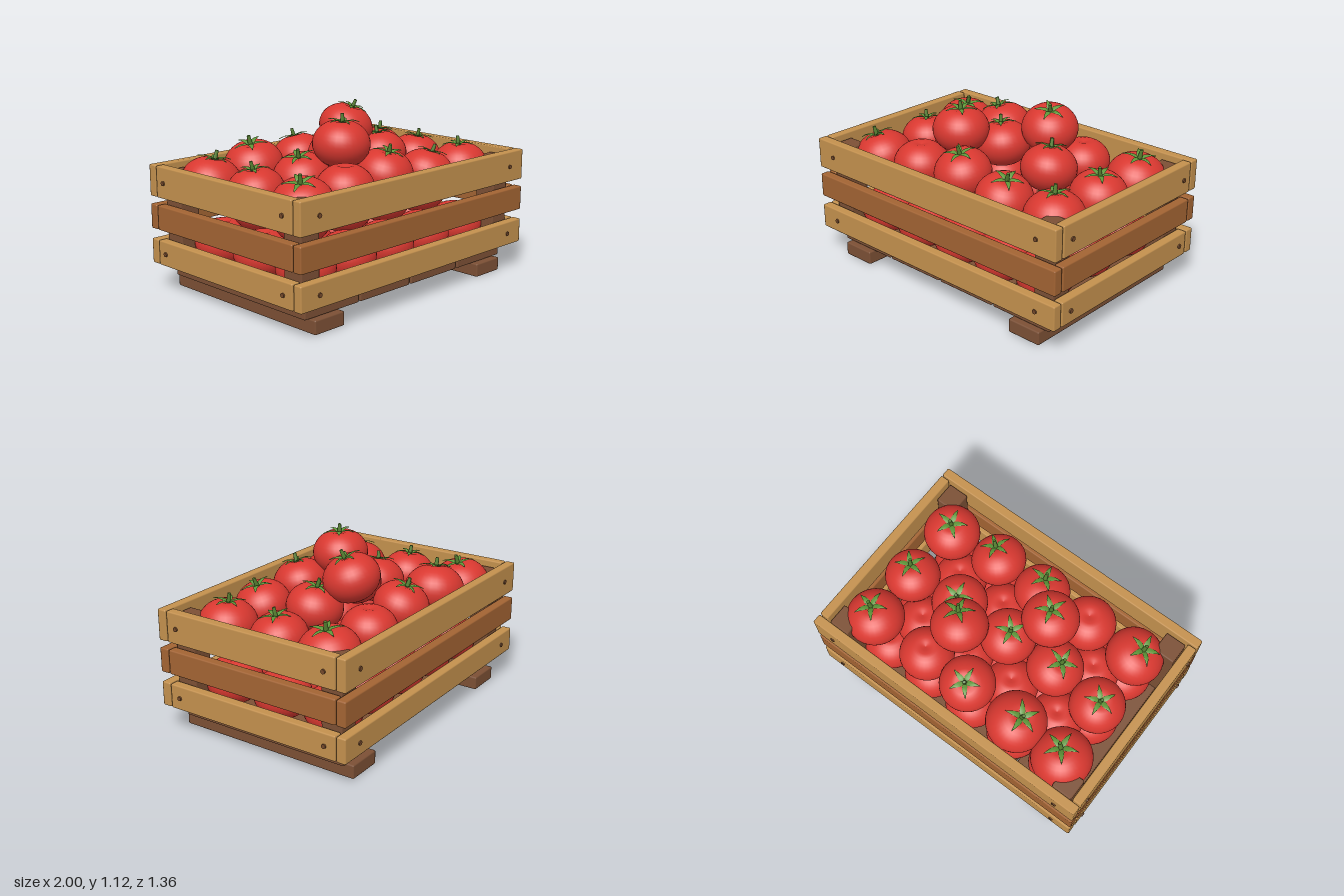
import * as THREE from 'three';
import { RoundedBoxGeometry } from 'three/addons/geometries/RoundedBoxGeometry.js';

const mat = (name, color, extra = {}) => new THREE.MeshStandardMaterial({ name, color, ...extra });

// Unit fruit: a squashed ball, dimpled at both poles
function fruitGeometry() {
  const pts = [];
  for (let i = 0; i <= 20; i++) {
    const t = -Math.PI / 2 + (Math.PI * i) / 20;
    const r = Math.max(0, Math.cos(t));
    pts.push(new THREE.Vector2(r, 0.83 * Math.sin(t) * (1 - 0.17 * Math.exp(-((r / 0.22) ** 2)))));
  }
  return new THREE.LatheGeometry(pts, 32);
}

// Five pointed sepals, each with a raised centre rib
function calyxGeometry() {
  const pos = [], index = [];
  // radius, half width, rib height
  const rows = [[0, 0.008, 0.124], [0.03, 0.017, 0.143], [0.065, 0.011, 0.146], [0.1, 0.001, 0.137]];
  for (let k = 0; k < 5; k++) {
    const a = (k / 5) * Math.PI * 2, c = Math.cos(a), s = Math.sin(a), base = pos.length / 3;
    for (const [r, w, y] of rows)
      for (const j of [-1, 0, 1]) pos.push(r * c - j * w * s, y - Math.abs(j) * 0.004, r * s + j * w * c);
    for (let i = 0; i < rows.length - 1; i++)
      for (let j = 0; j < 2; j++) {
        const p = base + i * 3 + j;
        index.push(p, p + 1, p + 3, p + 1, p + 4, p + 3);
      }
  }
  const g = new THREE.BufferGeometry();
  g.setAttribute('position', new THREE.Float32BufferAttribute(pos, 3));
  g.setIndex(index);
  g.computeVertexNormals();
  return g;
}

export function createModel() {
  const model = new THREE.Group();
  model.name = 'tomatoCrate';
  const lightWood = mat('lightWood', 0xc4914e);
  const midWood = mat('midWood', 0xa36433);
  const darkWood = mat('darkWood', 0x7c5035);
  const nailBrown = mat('nailBrown', 0x75492b);
  const red = mat('tomatoRed', 0xd93830);
  const leafGreen = mat('leafGreen', 0x5e9638, { side: THREE.DoubleSide });
  const stemGreen = mat('stemGreen', 0x557f30);

  const add = (name, geo, material, x, y, z, parent = model) => {
    const m = new THREE.Mesh(geo, material);
    m.name = name;
    m.position.set(x, y, z);
    parent.add(m);
    return m;
  };
  // Board with softly bevelled edges, given by its extents
  const board = (name, material, x0, x1, y0, y1, z0, z1) =>
    add(name, new RoundedBoxGeometry(x1 - x0, y1 - y0, z1 - z0, 1, 0.009), material,
      (x0 + x1) / 2, (y0 + y1) / 2, (z0 + z1) / 2);

  // Runners, floor planks and corner posts
  for (const s of [-1, 1]) {
    const x = s * 0.722;
    board('runner', darkWood, x - 0.115, x + 0.115, 0.005, 0.092, -0.62, 0.62);
    for (const t of [-1, 1])
      board('cornerPost', darkWood, x + s * 0.128 - 0.07, x + s * 0.128 + 0.07, 0.165, 0.765, t * 0.53 - 0.07, t * 0.53 + 0.07);
  }
  for (let i = 0; i < 4; i++) {
    const x = (i - 1.5) * 0.443;
    board('floorPlank', darkWood, x - 0.215, x + 0.215, 0.093, 0.165, -0.582, 0.582);
  }

  // Wall slats with nails in the light ones
  const nailGeo = new THREE.CylinderGeometry(0.014, 0.014, 0.014, 12);
  for (const [y0, y1, material, nailed] of [
    [0.18, 0.337, lightWood, true], [0.4, 0.557, midWood, false], [0.605, 0.803, lightWood, true],
  ]) {
    const y = (y0 + y1) / 2;
    for (const s of [-1, 1]) {
      board('longSlat', material, -0.99, 0.99, y0, y1, s * 0.64 - 0.031, s * 0.64 + 0.031);
      board('endSlat', material, s * 0.96 - 0.031, s * 0.96 + 0.031, y0, y1, -0.602, 0.602);
      if (!nailed) continue;
      for (const t of [-1, 1]) {
        add('nail', nailGeo, nailBrown, t * 0.85, y, s * 0.671).rotation.x = Math.PI / 2;
        add('nail', nailGeo, nailBrown, s * 0.993, y, t * 0.53).rotation.z = Math.PI / 2;
      }
    }
  }

  // Tomatoes; dx, dz is how far the stem leans off centre
  const fruitGeo = fruitGeometry();
  const calyxGeo = calyxGeometry();
  const stemGeo = new THREE.CylinderGeometry(0.01, 0.015, 0.065, 8);
  let count = 0;
  const tomato = (x, y, z, r, stem, dx = 0, dz = 0) => {
    const g = new THREE.Group();
    g.name = 'tomato';
    g.position.set(x, y, z);
    g.rotation.set(dz / 0.13, 0, -dx / 0.13);
    add('tomatoBody', fruitGeo, red, 0, 0, 0, g).scale.setScalar(r);
    if (stem) {
      const top = new THREE.Group();
      top.name = 'tomatoTop';
      top.scale.setScalar(r / 0.175);
      top.rotation.y = count * 1.9;
      add('calyx', calyxGeo, leafGreen, 0, 0, 0, top);
      add('stem', stemGeo, stemGreen, 0.003, 0.15, 0, top).rotation.z = -0.1;
      g.add(top);
    }
    count++;
    model.add(g);
  };

  // Bottom layer and the layer nested above it
  for (let i = -2; i <= 2; i++)
    for (let j = -1; j <= 1; j++) tomato(i * 0.335, 0.312, j * 0.37, 0.178, false);
  for (let i = -1.5; i <= 1.5; i++)
    for (const s of [-1, 1]) tomato(i * 0.35, 0.53, s * 0.19, 0.172, false);

  // Visible layer and the two on top: x, y, z, radius, stem, lean
  for (const t of [
    [-0.72, 0.69, -0.41, 0.19, true, 0.02, 0.01],
    [-0.38, 0.745, -0.41, 0.19, true, -0.03, 0.01],
    [0, 0.75, -0.4, 0.175, true, -0.01, -0.035],
    [0.33, 0.7, -0.385, 0.172, false],
    [0.74, 0.695, -0.39, 0.186, true, 0.02, 0.005],
    [-0.7, 0.695, -0.02, 0.175, true, -0.015, -0.005],
    [-0.36, 0.73, 0.01, 0.18, true, -0.035, 0.01],
    [-0.03, 0.825, -0.03, 0.175, true, -0.02, 0],
    [0.36, 0.77, -0.015, 0.176, true, 0, -0.02],
    [0.73, 0.7, -0.03, 0.176, true, 0.015, 0.01],
    [-0.7, 0.685, 0.38, 0.186, true, -0.035, 0.02],
    [-0.35, 0.72, 0.37, 0.176, false],
    [0, 0.755, 0.36, 0.178, true, 0.005, 0.03],
    [0.36, 0.705, 0.385, 0.176, true, 0.035, 0.015],
    [0.72, 0.695, 0.36, 0.182, true, -0.005, -0.005],
    [-0.19, 0.935, 0.18, 0.177, true, 0.005, 0.005],
    [0.22, 0.945, -0.185, 0.177, true, 0.027, 0.032],
  ]) tomato(...t);

  return model;
}
